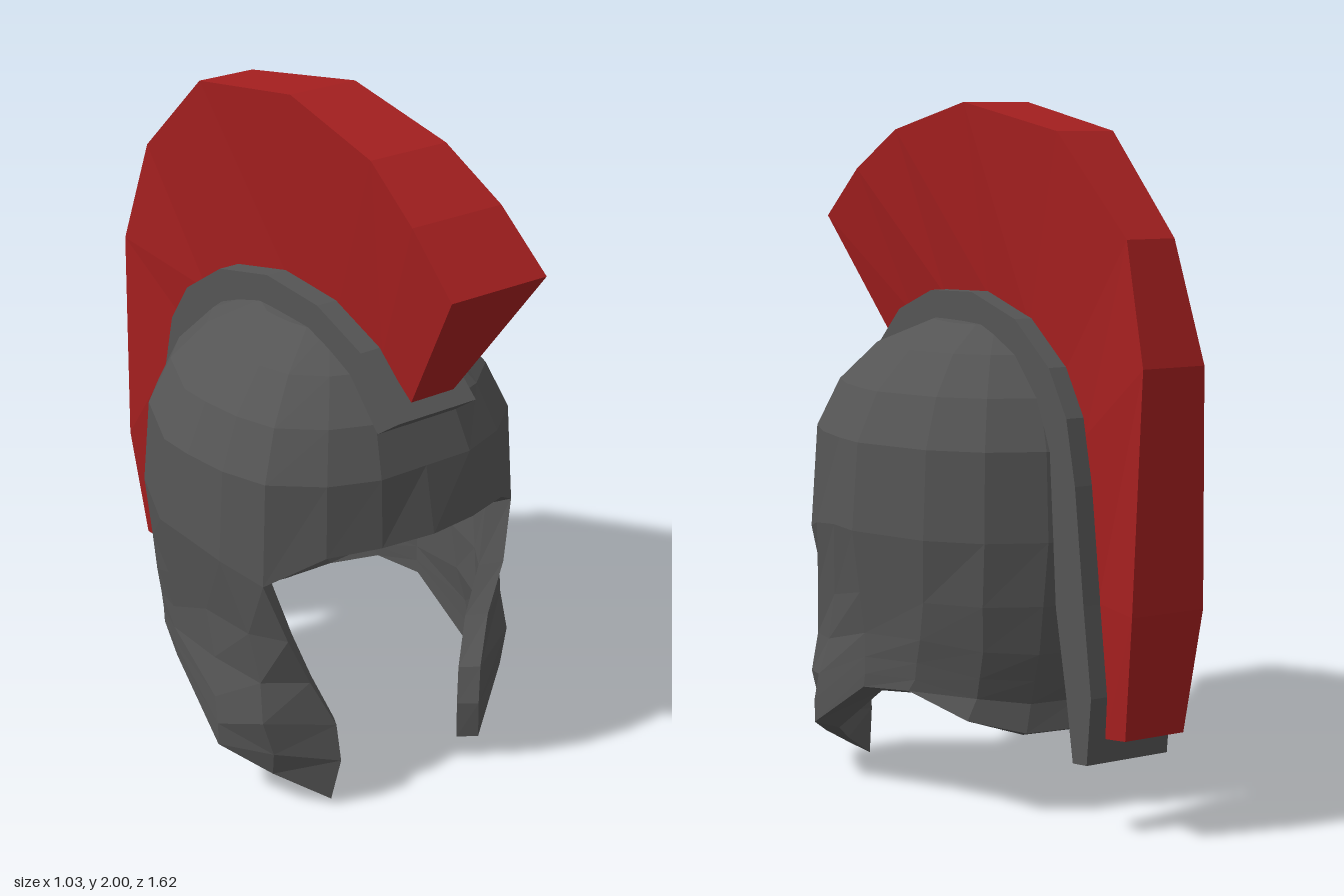
import * as THREE from 'three';

const steel = new THREE.MeshStandardMaterial({ color: 0x555555, flatShading: true, side: THREE.DoubleSide });
const red = new THREE.MeshStandardMaterial({ color: 0xa41f1f, flatShading: true });

// Collects quads (corners counter-clockwise from outside) and turns them into a mesh
function quadMesh(name, material, quads) {
  const pos = [];
  for (const [a, b, c, d] of quads) pos.push(...a, ...b, ...c, ...a, ...c, ...d);
  const geo = new THREE.BufferGeometry();
  geo.setAttribute('position', new THREE.Float32BufferAttribute(pos, 3));
  geo.computeVertexNormals();
  const mesh = new THREE.Mesh(geo, material);
  mesh.name = name;
  return mesh;
}

// Helmet shell: columns run from the front centre round the left side to the back
function helmetShell() {
  const mid = 0.05, cheek = 3, thin = 0.87;
  // Plan at brow level: x, y, z of each column
  const base = [
    [0, 0.855, 0.6], [0.16, 0.85, 0.575], [0.31, 0.84, 0.52], [0.445, 0.745, 0.41], [0.495, 0.78, 0.27], [0.515, 0.8, 0.12],
    [0.517, 0.8, 0], [0.42, 0.8, -0.24], [0.3, 0.8, -0.37], [0.14, 0.8, -0.445], [0, 0.8, -0.46],
  ];
  // Dome rows: height and scale of the plan
  const dome = [[1.05, 0.96], [1.19, 0.83], [1.3, 0.62], [1.37, 0.32], [1.38, 0]];
  // Cheek guard and neck guard, from the rim upwards, for the columns from the cheek edge back
  const skirt = [
    [[0.275, 0.025, 0.5], [0.255, 0.16, 0.52], [0.265, 0.28, 0.51], [0.325, 0.42, 0.465], [0.39, 0.57, 0.45]],
    [[0.41, 0.11, 0.4], [0.42, 0.19, 0.42], [0.45, 0.3, 0.41], [0.44, 0.42, 0.385], [0.455, 0.57, 0.35]],
    [[0.51, 0.18, 0.27], [0.51, 0.25, 0.27], [0.505, 0.33, 0.25], [0.485, 0.44, 0.22], [0.485, 0.58, 0.18]],
    [[0.48, 0.34, 0.01], [0.48, 0.38, 0], [0.48, 0.43, 0], [0.48, 0.5, 0], [0.495, 0.62, 0]],
    [[0.42, 0.355, -0.15], [0.41, 0.39, -0.17], [0.41, 0.44, -0.18], [0.41, 0.51, -0.2], [0.41, 0.62, -0.22]],
    [[0.32, 0.29, -0.31], [0.29, 0.35, -0.31], [0.29, 0.41, -0.325], [0.29, 0.49, -0.345], [0.3, 0.62, -0.36]],
    [[0.17, 0.25, -0.38], [0.15, 0.33, -0.37], [0.15, 0.4, -0.39], [0.15, 0.48, -0.415], [0.15, 0.62, -0.435]],
    [[0, 0.25, -0.4], [0, 0.33, -0.385], [0, 0.4, -0.41], [0, 0.48, -0.435], [0, 0.62, -0.455]],
  ];
  const low = skirt[0].length;
  // The brow stays steeper than the sides and back
  const domeZ = (z, s) => mid + (Math.min(z, 0.575) - mid) * (z > mid ? s ** 0.8 : s);
  const outer = base.map(([x, y, z], i) => [
    ...(i < cheek ? Array(low).fill(null) : skirt[i - cheek]),
    [x, y, z],
    ...dome.map(([h, s]) => [x * s, h, domeZ(z, s)]),
  ]);
  // Inner wall: drawn in towards the axis and lowered, most of all under the crown
  const inner = outer.map(col => col.map((p, j) => {
    if (!p) return null;
    const s = j > low ? dome[j - low - 1][1] : 1;
    return [p[0] * thin, p[1] - 0.02 - 0.06 * (1 - s), mid + (p[2] - mid) * thin];
  }));

  const quads = [];
  const add = (...q) => {
    quads.push(q);
    quads.push(q.map(([x, y, z]) => [-x, y, z]).reverse());
  };
  for (let i = 0; i < base.length - 1; i++) {
    for (let j = i < cheek ? low : 0; j < outer[0].length - 1; j++) {
      add(outer[i][j], outer[i + 1][j], outer[i + 1][j + 1], outer[i][j + 1]);
      add(inner[i][j + 1], inner[i + 1][j + 1], inner[i + 1][j], inner[i][j]);
    }
  }
  // Edge: under the brow, down the cheek guard, then back along the rim
  const edge = [];
  for (let i = 0; i < cheek; i++) edge.push([i, low]);
  for (let j = low; j > 0; j--) edge.push([cheek, j]);
  for (let i = cheek; i < base.length; i++) edge.push([i, 0]);
  for (let k = 0; k < edge.length - 1; k++) {
    const [i, j] = edge[k], [m, n] = edge[k + 1];
    add(outer[i][j], inner[i][j], inner[m][n], outer[m][n]);
  }
  return quadMesh('helmetShell', steel, quads);
}

// Band swept from front to back; rows hold outer z, y, inner z, y and outer x limits
function band(name, material, rows, innerLimits) {
  const rings = rows.map(([zo, yo, zi, yi, x0, x1]) => {
    const [i0, i1] = innerLimits ?? [x0, x1];
    return [[x0, yo, zo], [x1, yo, zo], [i1, yi, zi], [i0, yi, zi]];
  });
  const quads = [];
  for (let r = 0; r < rings.length - 1; r++) {
    const s = rings[r], t = rings[r + 1];
    for (let k = 0; k < 4; k++) quads.push([s[k], s[(k + 1) % 4], t[(k + 1) % 4], t[k]]);
  }
  quads.push([...rings[0]].reverse(), rings[rings.length - 1]);
  return quadMesh(name, material, quads);
}

export function createModel() {
  const model = new THREE.Group();
  model.name = 'crestedHelmet';
  model.add(helmetShell());

  // Metal ridge that carries the plume
  const ridge = [
    [0.61, 1.235, 0.52, 1.17], [0.44, 1.38, 0.4, 1.27], [0.24, 1.45, 0.23, 1.345], [0, 1.46, 0, 1.36],
    [-0.24, 1.4, -0.19, 1.3], [-0.42, 1.28, -0.34, 1.18], [-0.51, 1.15, -0.41, 1.04], [-0.555, 0.97, -0.44, 0.88],
    [-0.6, 0.65, -0.46, 0.62], [-0.64, 0.4, -0.515, 0.38], [-0.62, 0.21, -0.55, 0.2],
  ];
  model.add(band('crestRidge', steel, ridge.map(r => [...r, -0.14, 0.125])));

  // Plume, flaring towards the front and the lower back
  model.add(band('plume', red, [
    [0.81, 1.65, 0.58, 1.27, -0.135, 0.18],
    [0.64, 1.8, 0.45, 1.36, -0.132, 0.163],
    [0.44, 1.92, 0.25, 1.43, -0.115, 0.135],
    [0.07, 2, 0, 1.45, -0.108, 0.11],
    [-0.39, 1.92, -0.23, 1.38, -0.1, 0.083],
    [-0.7, 1.64, -0.41, 1.26, -0.092, 0.06],
    [-0.81, 1.31, -0.52, 1.1, -0.115, 0.08],
    [-0.79, 0.65, -0.59, 0.65, -0.135, 0.095],
    [-0.74, 0.3, -0.63, 0.28, -0.11, 0.08],
  ], [-0.075, 0.07]));
  return model;
}
